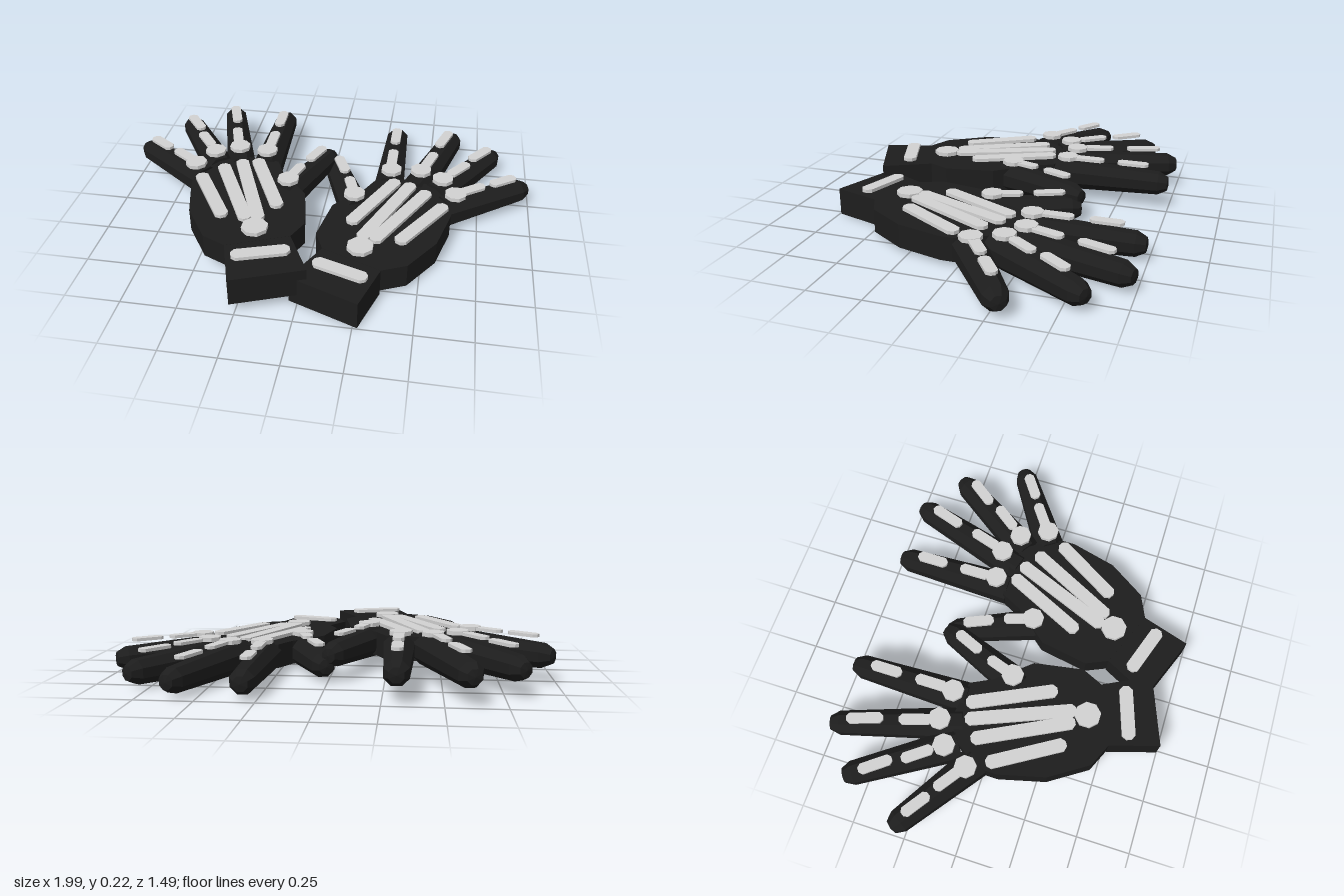
import * as THREE from 'three';

const glove = new THREE.MeshStandardMaterial({ name: 'black fabric', color: 0x1d1d1d, flatShading: true });
const bone = new THREE.MeshStandardMaterial({ name: 'pale bone', color: 0xd2d2d2, flatShading: true });

// Outlines and paths are [x, z] on the -x hand; the other hand flips x.
const CUFF = [[-0.27, 0.745], [0.04, 0.625], [-0.07, 0.41], [-0.34, 0.52]];
const PALM = [
  [-0.34, 0.52], [-0.45, 0.47], [-0.565, 0.295], [-0.62, 0.08], [-0.62, 0.02], [-0.59, -0.06],
  [-0.52, -0.16], [-0.42, -0.2], [-0.25, -0.18], [-0.2, -0.08], [-0.065, 0.08], [-0.025, 0.31], [-0.07, 0.41],
];
// Each digit: base and tip of the axis, two phalanx bars and a knuckle
const DIGITS = [
  { name: 'indexFinger', base: [-0.31, -0.17], tip: [-0.31, -0.745],
    bars: [[[-0.31, -0.64], [-0.31, -0.49]], [[-0.31, -0.42], [-0.31, -0.27]]], knuckle: [-0.315, -0.235] },
  { name: 'middleFinger', base: [-0.43, -0.15], tip: [-0.615, -0.745],
    bars: [[[-0.588, -0.655], [-0.535, -0.495]], [[-0.52, -0.425], [-0.475, -0.28]]], knuckle: [-0.46, -0.25] },
  { name: 'ringFinger', base: [-0.53, -0.14], tip: [-0.83, -0.597],
    bars: [[[-0.795, -0.515], [-0.7, -0.39]], [[-0.69, -0.35], [-0.6, -0.23]]], knuckle: [-0.57, -0.19] },
  { name: 'littleFinger', base: [-0.58, -0.035], tip: [-0.983, -0.305],
    bars: [[[-0.918, -0.26], [-0.8, -0.178]], [[-0.77, -0.163], [-0.66, -0.085]]], knuckle: [-0.635, -0.065] },
  { name: 'thumb', base: [-0.18, 0.05], tip: [-0.003, -0.385],
    bars: [[[-0.095, -0.175], [-0.037, -0.31]], [[-0.155, -0.01], [-0.115, -0.13]]], knuckle: [-0.16, 0.005] },
];
const METACARPALS = [
  [[-0.35, -0.16], [-0.165, 0.225]], [[-0.425, -0.14], [-0.23, 0.335]],
  [[-0.505, -0.085], [-0.285, 0.345]], [[-0.59, 0.015], [-0.395, 0.335]],
];

// Flat slab: an xz outline raised from y0 to y1
function slab(name, outline, y0, y1, material) {
  const shape = new THREE.Shape(outline.map(([x, z]) => new THREE.Vector2(x, -z)));
  const geo = new THREE.ExtrudeGeometry(shape, { depth: y1 - y0, bevelEnabled: false });
  geo.rotateX(-Math.PI / 2);
  const mesh = new THREE.Mesh(geo, material);
  mesh.name = name;
  mesh.position.y = y0;
  return mesh;
}

// Outline of a bar with chamfered ends
function barOutline([ax, az], [bx, bz], width) {
  const len = Math.hypot(bx - ax, bz - az), ux = (bx - ax) / len, uz = (bz - az) / len;
  const w = width / 2, c = width * 0.3;
  return [[0, w - c], [c, w], [len - c, w], [len, w - c], [len, c - w], [len - c, -w], [c, -w], [0, c - w]]
    .map(([t, s]) => [ax + ux * t - uz * s, az + uz * t + ux * s]);
}

// Regular eight-sided outline
function discOutline([x, z], r) {
  return Array.from({ length: 8 }, (_, i) => {
    const a = (i + 0.5) * Math.PI / 4;
    return [x + r * Math.cos(a), z + r * Math.sin(a)];
  });
}

// Tapered eight-sided digit with a blunt tip, a flat side facing up
function digit(name, base, tip) {
  const dx = tip[0] - base[0], dz = tip[1] - base[1], len = Math.hypot(dx, dz);
  const profile = [[0, 0], [0.078, 0], [0.057, len - 0.05], [0.034, len - 0.006], [0, len]]
    .map(([r, t]) => new THREE.Vector2(r, t));
  const geo = new THREE.LatheGeometry(profile, 8);
  geo.rotateY(Math.PI / 8).rotateX(Math.PI / 2).rotateY(Math.atan2(dx, dz));
  const mesh = new THREE.Mesh(geo, glove);
  mesh.name = name;
  mesh.position.set(base[0], 0.082, base[1]);
  return mesh;
}

function createHand(name, side, lift) {
  const hand = new THREE.Group();
  hand.name = name;
  hand.position.y = lift;
  const m = ([x, z]) => [-side * x, z];

  // Fabric body
  hand.add(slab('cuff', CUFF.map(m), 0.01, 0.14, glove));
  hand.add(slab('palm', PALM.map(m), 0.03, 0.141, glove));

  // Digits with their bones
  for (const d of DIGITS) {
    hand.add(digit(d.name, m(d.base), m(d.tip)));
    d.bars.forEach(([a, b], i) =>
      hand.add(slab(d.name + 'Bone' + (i + 1), barOutline(m(a), m(b), 0.05), 0.16, 0.174, bone)));
    hand.add(slab(d.name + 'Knuckle', discOutline(m(d.knuckle), 0.052), 0.157, 0.176, bone));
  }

  // Bones on the back of the hand
  METACARPALS.forEach(([a, b], i) =>
    hand.add(slab('handBone' + (i + 1), barOutline(m(a), m(b), 0.062), 0.146, 0.162, bone)));
  hand.add(slab('wristBone', discOutline(m([-0.235, 0.39]), 0.061), 0.145, 0.164, bone));
  hand.add(slab('cuffBone', barOutline(m([-0.29, 0.6]), m([-0.05, 0.52]), 0.062), 0.146, 0.162, bone));
  return hand;
}

export function createModel() {
  const model = new THREE.Group();
  model.name = 'skeletonGloves';
  model.add(createHand('rightGlove', -1, 0.05), createHand('leftGlove', 1, 0));
  return model;
}
